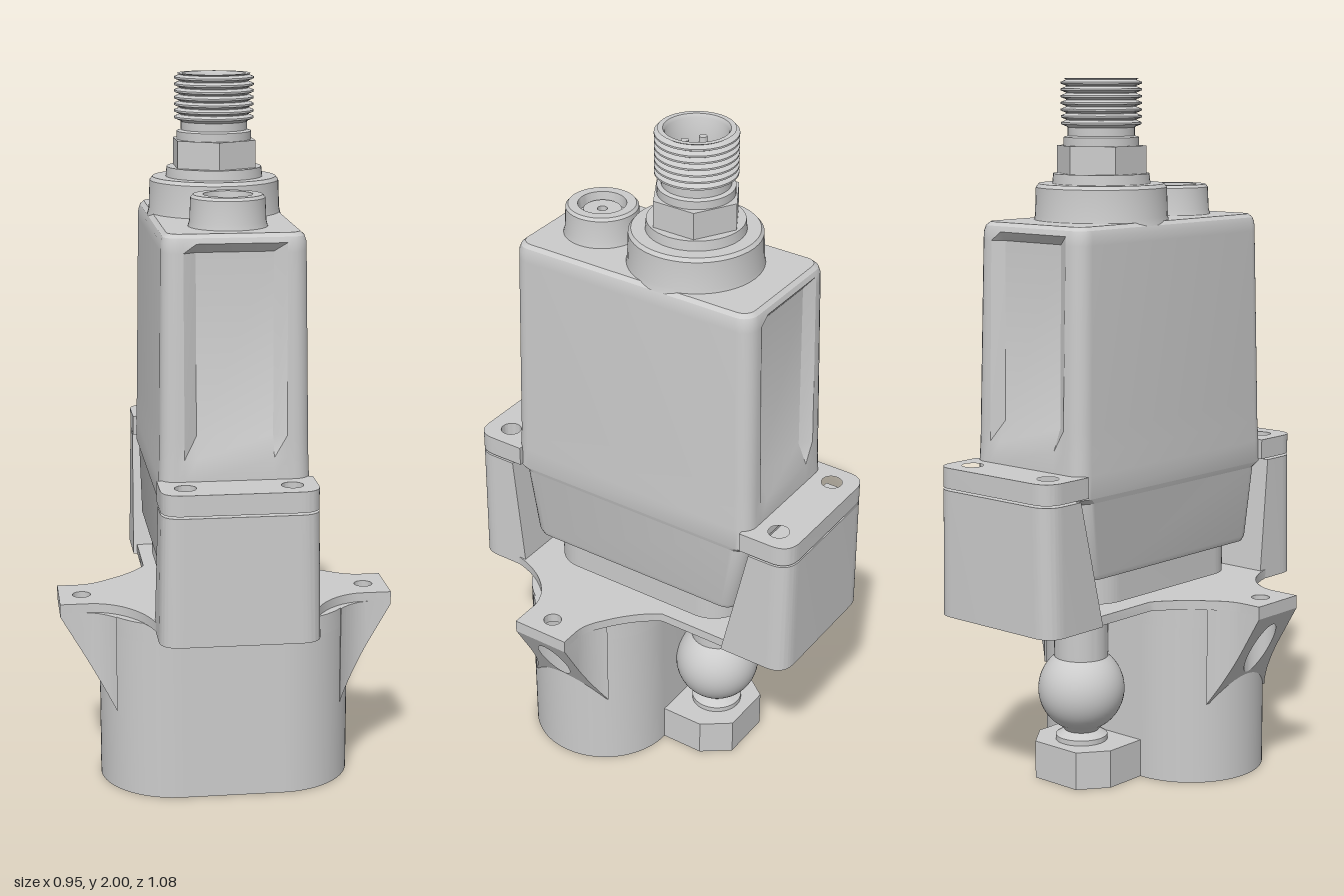
import * as THREE from 'three';
import { toCreasedNormals } from 'three/addons/utils/BufferGeometryUtils.js';

const grey = new THREE.MeshStandardMaterial({ color: 0xcccccc });

function add(parent, name, geometry, crease = 0.6) {
  const mesh = new THREE.Mesh(toCreasedNormals(geometry, crease), grey);
  mesh.name = name;
  parent.add(mesh);
  return mesh;
}

// Extrude a plan drawn in (x, z) from height y0 up to y1
function plan(shape, y0, y1) {
  const g = new THREE.ExtrudeGeometry(shape, { depth: y1 - y0, bevelEnabled: false, curveSegments: 20 });
  return g.rotateX(Math.PI / 2).translate(0, y1, 0);
}

function hole(shape, x, z, r) {
  shape.holes.push(new THREE.Path().absarc(x, z, r, 0, Math.PI * 2, true));
  return shape;
}

function roundRect(hx, hz, r) {
  const s = new THREE.Shape();
  s.absarc(hx - r, hz - r, r, 0, Math.PI / 2);
  s.absarc(r - hx, hz - r, r, Math.PI / 2, Math.PI);
  s.absarc(r - hx, r - hz, r, Math.PI, Math.PI * 1.5);
  s.absarc(hx - r, r - hz, r, Math.PI * 1.5, Math.PI * 2);
  return s;
}

function lathe(points, z, segments = 48) {
  return new THREE.LatheGeometry(points.map(p => new THREE.Vector2(...p)), segments).translate(0, 0, z);
}

// Rounded-rectangle ring; d sinks a panel into both end faces
function ring([y, hx, hz, r, d]) {
  const pts = [];
  [[1, 1], [-1, 1], [-1, -1], [1, -1]].forEach(([sx, sz], k) => {
    for (let i = 0; i <= 6; i++) {
      const a = (k + i / 6) * Math.PI / 2;
      pts.push([sx * (hx - r) + r * Math.cos(a), y, sz * (hz - r) + r * Math.sin(a)]);
    }
    if (k % 2 === 0) {
      for (const [x, sink] of [[0.14, 0], [0.105, d], [-0.105, d], [-0.14, 0]])
        pts.push([sx * x, y, sz * (hz - sink)]);
    }
  });
  return pts;
}

function loft(sections) {
  const rings = sections.map(ring), n = rings[0].length, idx = [];
  const pos = rings.flat(2);
  for (let j = 0; j < rings.length - 1; j++) {
    for (let i = 0; i < n; i++) {
      const a = j * n + i, b = j * n + (i + 1) % n;
      idx.push(a, a + n, b, b, a + n, b + n);
    }
  }
  const low = rings.length * n, top = (rings.length - 1) * n;
  pos.push(0, sections[0][0], 0, 0, sections.at(-1)[0], 0);
  for (let i = 0; i < n; i++) {
    const k = (i + 1) % n;
    idx.push(low, i, k, low + 1, top + k, top + i);
  }
  const g = new THREE.BufferGeometry();
  g.setAttribute('position', new THREE.Float32BufferAttribute(pos, 3));
  g.setIndex(idx);
  return g;
}

// Bracket footprint at one end, with two screw holes
function endPlan(side, inner, holeRadius) {
  const s = new THREE.Shape(), w = 0.215, o = 0.54, r = 0.06;
  s.moveTo(-w, side * inner);
  s.lineTo(w, side * inner);
  s.lineTo(w, side * (o - r));
  s.quadraticCurveTo(w, side * o, w - r, side * o);
  s.lineTo(r - w, side * o);
  s.quadraticCurveTo(-w, side * o, -w, side * (o - r));
  for (const x of [-0.145, 0.145]) hole(s, x, side * 0.465, holeRadius);
  return s;
}

export function createModel() {
  const model = new THREE.Group();

  // Upper housing with sunken end panels
  add(model, 'housing', loft([
    [0.64, 0.19, 0.345, 0.04, 0], [0.655, 0.195, 0.352, 0.04, 0], [0.86, 0.2, 0.385, 0.045, 0],
    [0.875, 0.207, 0.405, 0.045, 0], [0.94, 0.207, 0.403, 0.045, 0], [1.0, 0.205, 0.4, 0.045, 0],
    [1.06, 0.204, 0.399, 0.045, 0.025], [1.56, 0.197, 0.387, 0.045, 0.02], [1.585, 0.196, 0.386, 0.045, 0],
    [1.6, 0.191, 0.381, 0.042, 0], [1.61, 0.18, 0.37, 0.035, 0],
  ]), 0.5);
  add(model, 'housingFoot', plan(roundRect(0.175, 0.31, 0.1), 0.555, 0.645));

  // End flanges and the bracket legs below them
  for (const side of [1, -1]) {
    const label = side > 0 ? 'front' : 'back';
    add(model, label + 'Flange', plan(endPlan(side, 0.38, 0.03), 0.882, 0.94));
    const leg = plan(endPlan(side, 0.41, 0.034), 0.515, 0.876), p = leg.attributes.position;
    for (let i = 0; i < p.count; i++) {
      const t = (0.876 - p.getY(i)) / 0.361;
      if (Math.abs(p.getZ(i)) < 0.42) p.setZ(i, p.getZ(i) - side * t * (side > 0 ? 0.04 : 0.08));
      p.setX(i, p.getX(i) * (1 + 0.03 * t));
    }
    add(model, label + 'Leg', leg);
  }

  // Mounting plate flaring out into two ears
  const plate = new THREE.Shape();
  plate.moveTo(0.21, -0.42);
  plate.lineTo(0.21, -0.12);
  plate.quadraticCurveTo(0.25, -0.05, 0.34, 0.01);
  plate.quadraticCurveTo(0.38, 0.04, 0.42, 0.04);
  plate.lineTo(0.475, 0.04);
  plate.lineTo(0.475, 0.215);
  plate.lineTo(0.38, 0.215);
  plate.bezierCurveTo(0.28, 0.23, 0.22, 0.35, 0.215, 0.44);
  const half = plate.getPoints(12);
  const outline = new THREE.Shape([...half, ...half.map(v => new THREE.Vector2(-v.x, v.y)).reverse()]);
  for (const x of [-0.41, 0.41]) hole(outline, x, 0.13, 0.026);
  add(model, 'mountingPlate', plan(outline, 0.515, 0.542));

  // Sloped gussets below the ears, bored for screw access
  for (const side of [1, -1]) {
    const s = new THREE.Shape();
    s.moveTo(side * 0.475, 0.04);
    s.lineTo(side * 0.41, 0.04);
    s.quadraticCurveTo(side * 0.36, 0.035, side * 0.32, 0);
    s.lineTo(side * 0.32, 0.27);
    s.quadraticCurveTo(side * 0.36, 0.22, side * 0.41, 0.215);
    s.lineTo(side * 0.475, 0.215);
    hole(s, side * 0.41, 0.13, 0.045);
    const g = plan(s, 0, 0.516), p = g.attributes.position;
    for (let i = 0; i < p.count; i++) {
      if (p.getY(i) < 0.1) p.setY(i, 0.505 - (0.475 - Math.abs(p.getX(i))) * 1.74);
    }
    add(model, side > 0 ? 'leftGusset' : 'rightGusset', g, 0.5);
  }

  // Lower body: two keyed bores open at the bottom
  const stadium = () => {
    const s = new THREE.Shape();
    s.absarc(0.143, 0.137, 0.217, -Math.PI / 2, Math.PI / 2);
    s.absarc(-0.143, 0.137, 0.217, Math.PI / 2, Math.PI * 1.5);
    return s;
  };
  const body = stadium();
  for (const cx of [-0.143, 0.143]) {
    const bore = [];
    for (let k = 0; k < 4; k++) {
      const mid = Math.PI / 4 + k * Math.PI / 2;
      for (const [da, r] of [[-0.13, 0.128], [-0.1, 0.165], [0.1, 0.165], [0.13, 0.128]])
        bore.push(new THREE.Vector2(cx + r * Math.cos(mid + da), 0.137 + r * Math.sin(mid + da)));
      for (let i = 1; i < 10; i++) {
        const a = mid + 0.13 + (Math.PI / 2 - 0.26) * i / 10;
        bore.push(new THREE.Vector2(cx + 0.128 * Math.cos(a), 0.137 + 0.128 * Math.sin(a)));
      }
    }
    body.holes.push(new THREE.Path(bore));
  }
  add(model, 'lowerBody', plan(body, 0, 0.46));
  add(model, 'lowerBodyRoof', plan(stadium(), 0.46, 0.516));

  // Ball stud and the seat that carries it
  const ball = [];
  for (let i = 0; i <= 20; i++) {
    const a = -1.05 + (1.05 + 0.9) * i / 20;
    ball.push([0.125 * Math.cos(a), 0.262 + 0.125 * Math.sin(a)]);
  }
  add(model, 'ballStud', lathe([[0, 0.09], [0.075, 0.09], [0.075, 0.125], [0.05, 0.14], ...ball,
    [0.078, 0.375], [0.078, 0.58], [0, 0.58]], -0.18));
  const seat = new THREE.Shape([[0.14, -0.05], [0.14, -0.21], [0.08, -0.29], [-0.08, -0.29], [-0.14, -0.21], [-0.14, -0.05]]
    .map(p => new THREE.Vector2(...p)));
  add(model, 'ballSeat', plan(hole(seat, 0, -0.18, 0.045), 0, 0.11));
  add(model, 'seatScrew', new THREE.CylinderGeometry(0.046, 0.046, 0.08, 24).translate(0, 0.06, -0.18));

  // Connector: collar, hex nut and hollow threaded socket
  const cz = -0.09;
  add(model, 'connectorCollar', lathe([[0, 1.6], [0.192, 1.6], [0.187, 1.62], [0.184, 1.7], [0.176, 1.71],
    [0.138, 1.71], [0.135, 1.738], [0, 1.738]], cz));
  add(model, 'hexNut', new THREE.CylinderGeometry(0.128, 0.128, 0.08, 6).translate(0, 1.775, cz), 0.2);
  const socket = [[0, 1.81], [0.106, 1.81], [0.106, 1.838], [0.094, 1.842], [0.094, 1.865]];
  for (let i = 0; i < 7; i++) {
    const y = 1.868 + i * 0.0185;
    socket.push([0.098, y], [0.113, y + 0.006], [0.113, y + 0.011], [0.098, y + 0.017]);
  }
  socket.push([0.104, 2], [0.09, 2], [0.084, 1.99], [0.084, 1.89], [0.063, 1.89], [0.063, 1.92], [0, 1.92]);
  add(model, 'threadedSocket', lathe(socket, cz));
  for (const [x, z] of [[0.016, -0.118], [-0.03, -0.09], [0.016, -0.063]])
    add(model, 'contactPin', new THREE.CylinderGeometry(0.011, 0.013, 0.05, 16).translate(x, 1.94, z));

  // Round cap with a stepped recess
  add(model, 'roundCap', lathe([[0, 1.6], [0.112, 1.6], [0.105, 1.625], [0.102, 1.688], [0.095, 1.696], [0.068, 1.696],
    [0.064, 1.665], [0.053, 1.665], [0.053, 1.678], [0.014, 1.678], [0.014, 1.66], [0, 1.66]], 0.22));
  return model;
}
